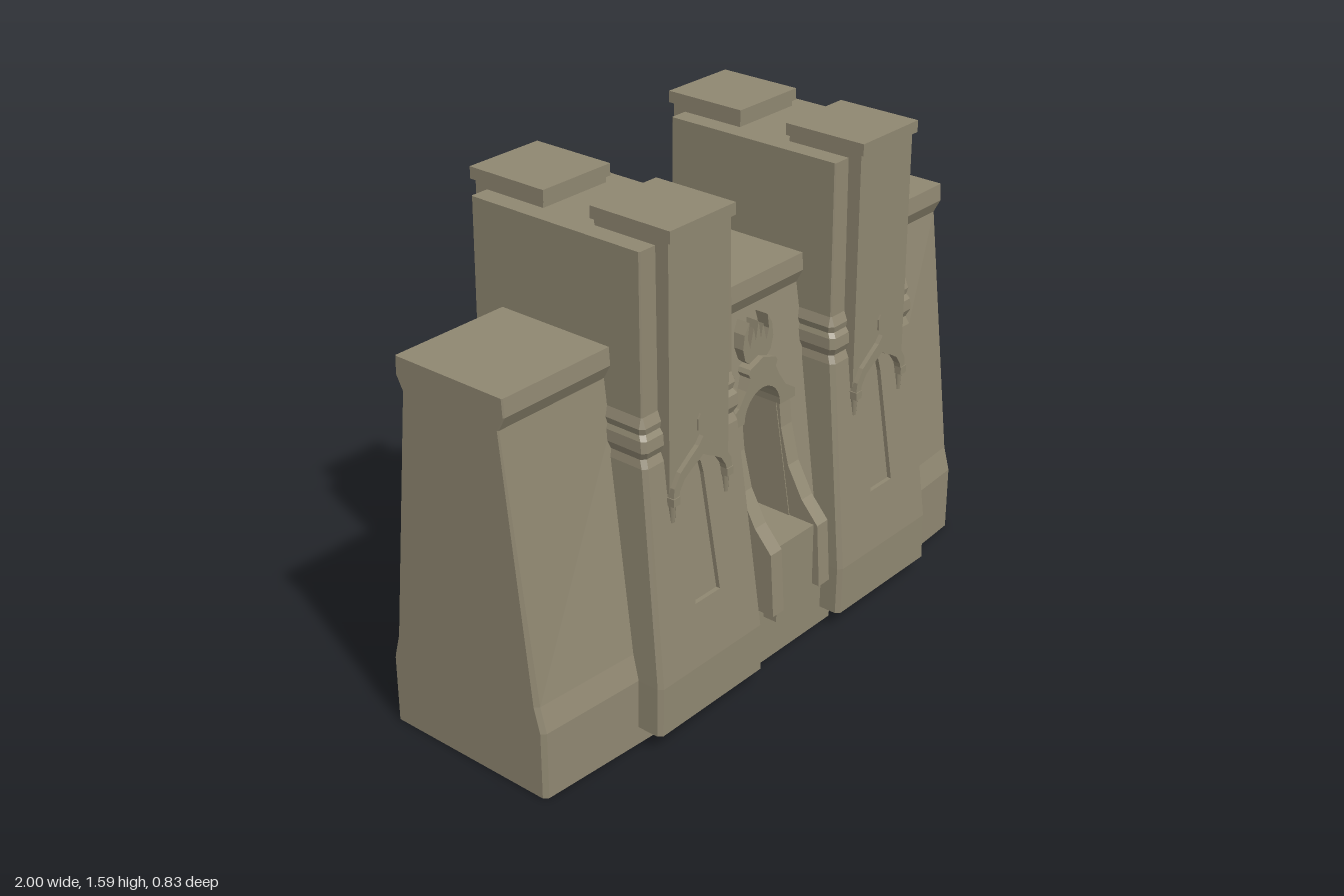
import * as THREE from 'three';

// Hollow masonry shells, open underneath
const stone = new THREE.MeshStandardMaterial({ color: 0x8f8771, side: THREE.DoubleSide });
stone.name = 'stone';

function mesh(name, geometry, parent) {
  const m = new THREE.Mesh(geometry, stone);
  m.name = name;
  parent.add(m);
  return m;
}

// Chamfered rectangle at height y; za and zb are the half depths at x0 and x1
function ring(y, x0, x1, za, zb, c = 0.013) {
  return [
    [x0 + c, za], [x1 - c, zb], [x1, zb - c], [x1, c - zb],
    [x1 - c, -zb], [x0 + c, -za], [x0, c - za], [x0, za - c],
  ].map(([x, z]) => new THREE.Vector3(x, y, z));
}

function fromTriangles(points) {
  const g = new THREE.BufferGeometry().setFromPoints(points);
  g.computeVertexNormals();
  return g;
}

// Skin a stack of rings, open at the bottom; skip(level, side) leaves a face out
function stack(rings, skip = () => false) {
  const pts = [];
  for (let k = 0; k < rings.length - 1; k++) {
    const a = rings[k], b = rings[k + 1];
    for (let i = 0; i < 8; i++) {
      if (skip(k, i)) continue;
      const j = (i + 1) % 8;
      pts.push(a[i], a[j], b[j], a[i], b[j], b[i]);
    }
  }
  const top = rings[rings.length - 1];
  for (let i = 1; i < 7; i++) pts.push(top[0], top[i], top[i + 1]);
  return fromTriangles(pts);
}

const slope = (a, b) => y => a[0].z + (b[0].z - a[0].z) * (y - a[0].y) / (b[0].y - a[0].y);

// Flat shape laid on a sloping face
function drape(shape, zAt) {
  const g = new THREE.ShapeGeometry(shape);
  const pos = g.attributes.position;
  for (let i = 0; i < pos.count; i++) pos.setZ(i, zAt(pos.getY(i)));
  g.computeVertexNormals();
  return g;
}

// Sloping front face between two rings with a hole in it
function piercedFace(a, b, hole) {
  const shape = new THREE.Shape([a[0], a[1], b[1], b[0]].map(p => new THREE.Vector2(p.x, p.y)));
  shape.holes.push(new THREE.Path(hole));
  return drape(shape, slope(a, b));
}

// Inside of an opening, from depth zFront(y) to zBack(y)
function reveal(outline, zFront, zBack) {
  const pts = [];
  outline.forEach((p, i) => {
    const q = outline[(i + 1) % outline.length];
    const v = (o, f) => new THREE.Vector3(o.x, o.y, f(o.y));
    const A = v(p, zFront), B = v(q, zFront), C = v(q, zBack), D = v(p, zBack);
    pts.push(A, B, C, A, C, D);
  });
  return fromTriangles(pts);
}

const vecs = list => list.map(([x, y]) => new THREE.Vector2(x, y));
const mirrorX = list => list.map(([x, y]) => [-x, y]).reverse();

function slab(points, z0, z1) {
  const g = new THREE.ExtrudeGeometry(new THREE.Shape(vecs(points)), { depth: z1 - z0, bevelEnabled: false });
  return g.translate(0, 0, z0);
}

// Profile drawn in (z, y), extruded across x
function crossSlab(points, x0, x1) {
  return slab(points, 0, x1 - x0).rotateY(-Math.PI / 2).translate(x1, 0, 0);
}

function block(x0, x1, y0, y1, z0, z1) {
  return new THREE.BoxGeometry(x1 - x0, y1 - y0, z1 - z0)
    .translate((x0 + x1) / 2, (y0 + y1) / 2, (z0 + z1) / 2);
}

// Battered wall section with a flared cornice
function wallRings(x0, x1, ha, hb) {
  return [
    ring(0, x0, x1, ha, hb), ring(0.22, x0, x1, ha, hb),
    ring(0.3, x0, x1, ha - 0.022, hb - 0.022),
    ring(1.13, x0, x1, 0.182, 0.182, 0.004), ring(1.175, x0, x1, 0.206, 0.206, 0.004),
    ring(1.23, x0, x1, 0.202, 0.202, 0.004),
  ];
}

function archCurve(half, spring, rise, n = 12) {
  return Array.from({ length: n + 1 }, (_, i) => {
    const t = Math.PI * i / n;
    return [half * Math.cos(t), spring + rise * Math.sin(t)];
  });
}

function gatehouse() {
  const g = new THREE.Group();
  g.name = 'gatehouse';
  const rings = wallRings(-0.265, 0.265, 0.338, 0.338);
  // The ends are open where they run into the towers
  mesh('gateWall', stack(rings, (k, i) => i === 2 || i === 6 || (k === 2 && i % 4 === 0)), g);
  const opening = vecs([[-0.085, 0.43], [0.085, 0.43], ...archCurve(0.085, 0.8, 0.09)]);
  const z = slope(rings[2], rings[3]);
  mesh('passage', reveal(opening, z, y => -z(y)), g);

  const cheek = [[0.15, 0.22], [0.415, 0.22], [0.402, 0.43], [0.34, 0.5], [0.285, 0.6],
    [0.255, 0.72], [0.245, 0.82], [0.15, 0.82]];
  const hoodSide = [[0.158, 0.8], [0.156, 0.83], [0.11, 0.86], [0.078, 0.905], [0.06, 0.94], [0.068, 0.955], [0.06, 0.968]];
  const hood = [...hoodSide, [0, 0.99], ...mirrorX(hoodSide), ...archCurve(0.085, 0.8, 0.09).reverse()];
  const flameSide = [[0.03, 0.965], [0.06, 0.99], [0.071, 1.03], [0.064, 1.075], [0.042, 1.108],
    [0.05, 1.06], [0.038, 1.025], [0.03, 1.055], [0.022, 1.085], [0.012, 1.04]];
  const flame = [...flameSide, [0, 1.1], ...mirrorX(flameSide)];

  for (const back of [false, true]) {
    const side = new THREE.Group();
    side.name = back ? 'backGate' : 'frontGate';
    if (back) side.rotation.y = Math.PI;
    g.add(side);
    mesh('gateFace', piercedFace(rings[2], rings[3], opening), side);
    mesh('gateHood', slab(hood, 0.17, 0.252), side);
    mesh('flameFinial', slab(flame, 0.17, 0.232), side);
    mesh('cheekWall', crossSlab(cheek, 0.088, 0.14), side);
    mesh('cheekWall', crossSlab(cheek, -0.14, -0.088), side);
    if (back) {
      // Steep flight of steps
      const steps = [[0.2, 0.16], [0.39, 0.16]];
      for (let i = 0; i < 9; i++) {
        const zi = 0.39 - i * 0.014, y = 0.2 + i * 0.0255;
        steps.push([zi, y], [zi - 0.014, y]);
      }
      steps.push([0.264, 0.43], [0.2, 0.43]);
      mesh('steps', crossSlab(steps, -0.089, 0.089), side);
    } else {
      mesh('landing', block(-0.089, 0.089, 0.165, 0.43, 0.2, 0.388), side);
    }
  }
  return g;
}

function tower() {
  const g = new THREE.Group();
  g.name = 'tower';
  // Height, half width, half depth and chamfer of each course
  const rings = [
    [0.06, 0.237, 0.412], [0.22, 0.233, 0.412], [0.9, 0.206, 0.337], [0.925, 0.2, 0.326],
    [0.95, 0.209, 0.338], [0.985, 0.207, 0.335], [1.0, 0.2, 0.324], [1.02, 0.205, 0.328],
    [1.05, 0.194, 0.316, 0.004], [1.537, 0.191, 0.312, 0.004],
  ].map(([y, w, d, c]) => ring(y, -w, w, d, d, c));
  mesh('towerBody', stack(rings, (k, i) => k === 1 && i === 0), g);

  // Shallow tapering window slit
  const slit = vecs([[-0.055, 0.42], [0.055, 0.42], [0.03, 0.8], [0.022, 0.84], [0, 0.865],
    [-0.022, 0.84], [-0.03, 0.8]]);
  const face = slope(rings[1], rings[2]);
  const recess = y => face(y) - 0.014;
  mesh('towerFace', piercedFace(rings[1], rings[2], slit), g);
  mesh('slitReveal', reveal(slit, face, recess), g);
  mesh('slitBack', drape(new THREE.Shape(slit), recess), g);

  const outer = [[0.13, 0.775], [0.124, 0.82], [0.098, 0.86], [0.05, 0.895], [0.02, 0.915]];
  const inner = [[0.106, 0.775], [0.1, 0.805], [0.08, 0.835], [0.045, 0.857], [0.018, 0.87]];
  const panel = [[0.128, 0.8], [0.128, 1.556], [-0.128, 1.556], [-0.128, 0.8],
    ...mirrorX(outer).reverse().slice(1), [0, 0.935], ...[...outer].reverse().slice(0, -1)];
  const arch = [...outer, [0, 0.938], ...mirrorX(outer), ...mirrorX(inner).reverse(), [0, 0.882],
    ...[...inner].reverse()];
  const lancet = [[-0.01, 0.955], [0.01, 0.955], [0.01, 0.99], [0, 1.005], [-0.01, 0.99]];

  for (const back of [false, true]) {
    const side = new THREE.Group();
    side.name = back ? 'backPilaster' : 'frontPilaster';
    if (back) side.rotation.y = Math.PI;
    g.add(side);
    mesh('pilaster', slab(panel, 0.29, 0.357), side);
    mesh('pointedHood', slab(arch, 0.3, 0.372), side);
    mesh('lancet', slab(lancet, 0.355, 0.363), side);
    mesh('capNeck', block(-0.128, 0.128, 1.53, 1.558, 0.095, 0.356), side);
    mesh('cap', block(-0.136, 0.136, 1.557, 1.594, 0.086, 0.37), side);
    for (const s of [-1, 1]) {
      // Hanging drops at the feet of the hood
      mesh('dropBlock', block(s * 0.117 - 0.014, s * 0.117 + 0.014, 0.765, 0.79, 0.33, 0.375), side);
      mesh('drop', new THREE.CylinderGeometry(0.012, 0.008, 0.06, 6).translate(s * 0.117, 0.738, 0.357), side);
    }
  }
  return g;
}

export function createModel() {
  const model = new THREE.Group();
  model.name = 'fortifiedGate';
  // Side walls, open at the end inside the tower
  const walls = [
    mesh('rightWall', stack(wallRings(-1, -0.5, 0.306, 0.337), (k, i) => i === 2), model),
    mesh('leftWall', stack(wallRings(0.5, 1, 0.337, 0.306), (k, i) => i === 6), model),
  ];
  for (const w of walls) w.position.z = -0.008;
  const gate = gatehouse();
  gate.position.set(0.02, 0, -0.005);
  model.add(gate);
  for (const x of [-0.398, 0.457]) {
    const t = tower();
    t.position.set(x, 0, -0.005);
    model.add(t);
  }
  return model;
}
